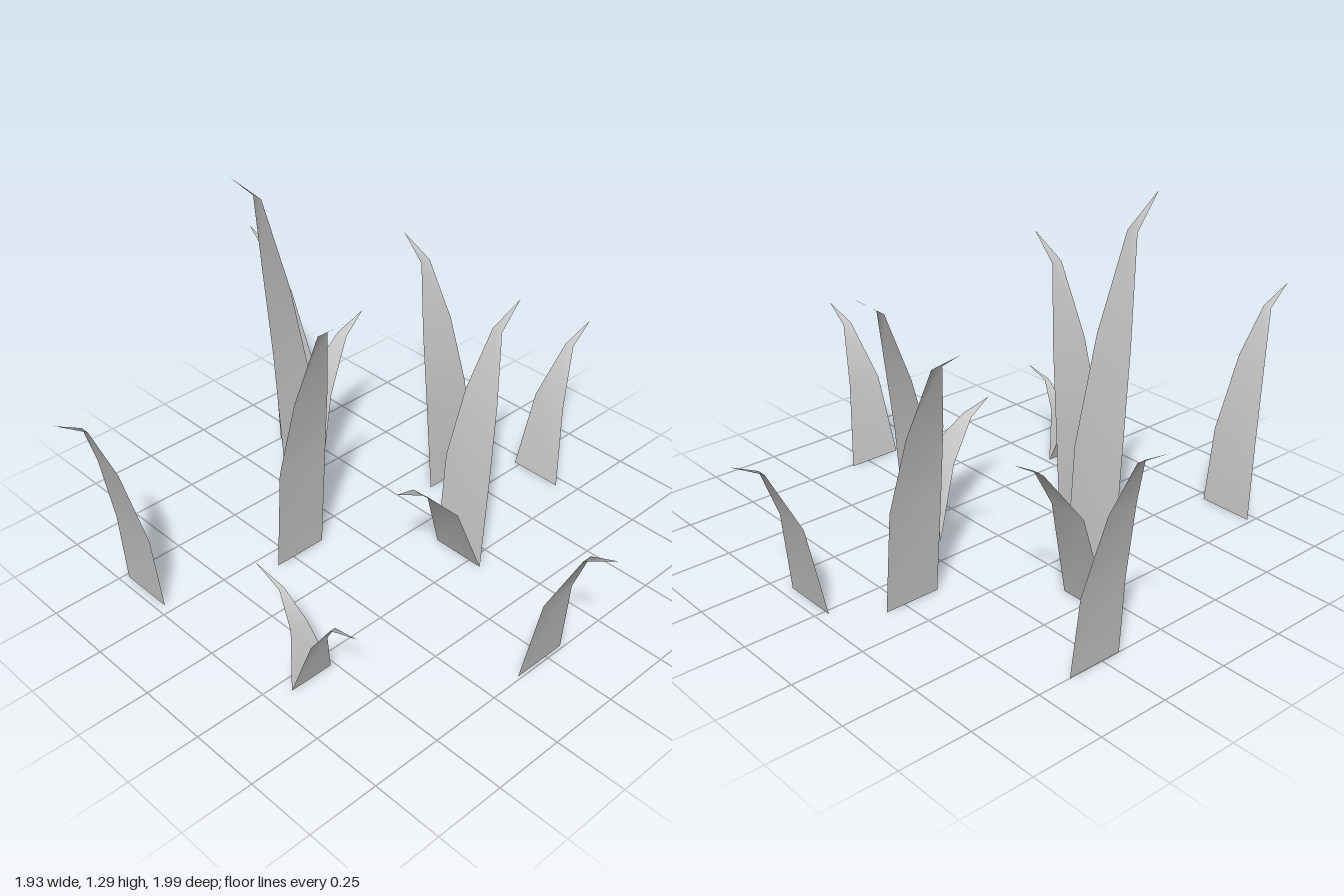
import * as THREE from 'three';

const material = new THREE.MeshStandardMaterial({ color: 0xcccccc, side: THREE.DoubleSide });

// Blade outlines: rings of [height fraction, lean fraction, width fraction], ending in a point
const TALL = [[0, 0, 1], [0.39, 0.12, 0.99], [0.67, 0.33, 0.7], [0.92, 0.58, 0.2], [1, 1, 0]];
const MEDIUM = [[0, 0, 1], [0.35, 0.1, 0.9], [0.7, 0.35, 0.55], [0.92, 0.6, 0.16], [1, 1, 0]];
const SHORT = [[0, 0, 1], [0.54, 0.2, 0.65], [0.9, 0.57, 0.17], [1, 1, 0]];
const SPROUT = [[0, 0, 1], [0.58, 0.2, 0.42], [0.9, 0.5, 0.12], [1, 1, 0]];
const ARCHING = [[0, 0, 1], [0.61, 0.29, 0.7], [0.9, 0.68, 0.22], [1, 1, 0]];

// Turn about y that points the lean (+z by default) in each direction
const TURN = { front: 0, left: Math.PI / 2, back: Math.PI, right: -Math.PI / 2 };

// Thin curved blade: width along x, leaning towards +z
function bladeGeometry(profile, width, height, lean) {
  const positions = [];
  const index = [];
  const last = profile.length - 1;
  profile.forEach(([f, l, w], i) => {
    const half = (w * width) / 2;
    if (i === last) positions.push(0, f * height, l * lean);
    else positions.push(-half, f * height, l * lean, half, f * height, l * lean);
    const a = i * 2;
    if (i < last - 1) index.push(a, a + 1, a + 3, a, a + 3, a + 2);
    else if (i === last - 1) index.push(a, a + 1, a + 2);
  });
  const geometry = new THREE.BufferGeometry();
  geometry.setAttribute('position', new THREE.Float32BufferAttribute(positions, 3));
  geometry.setIndex(index);
  geometry.computeVertexNormals();
  return geometry;
}

export function createModel() {
  const group = new THREE.Group();
  group.name = 'grassPatch';

  // name, profile, direction of lean, base x, base z, height, lean, width
  const blades = [
    ['tallBladeBack', TALL, 'right', 0.07, -0.5, 1.29, 0.25, 0.2],
    ['archingBladeBack', ARCHING, 'left', 0.07, -0.5, 0.59, 0.31, 0.2],
    ['tallBladeFront', TALL, 'left', 0.17, 0.2, 0.905, 0.25, 0.2],
    ['archingBladeFront', ARCHING, 'right', 0.17, 0.2, 0.41, 0.3, 0.2],
    ['tallBladeLeft', TALL, 'back', 0.47, -0.13, 0.915, 0.25, 0.2],
    ['tallBladeRight', TALL, 'front', -0.22, -0.18, 1.02, 0.25, 0.2],
    ['mediumBladeBack', MEDIUM, 'back', 0.28, -0.75, 0.785, 0.25, 0.2],
    ['mediumBladeRight', MEDIUM, 'right', -0.72, -0.385, 0.785, 0.25, 0.2],
    ['shortBladeLeft', SHORT, 'left', 0.71, 0.08, 0.555, 0.25, 0.2],
    ['shortBladeFront', SHORT, 'front', -0.03, 0.74, 0.555, 0.25, 0.2],
    ['sproutBack', SPROUT, 'back', -0.595, 0.3, 0.315, 0.25, 0.16],
    ['sproutFront', SPROUT, 'front', -0.595, 0.3, 0.3, 0.21, 0.16],
  ];

  for (const [name, profile, direction, x, z, height, lean, width] of blades) {
    const blade = new THREE.Mesh(bladeGeometry(profile, width, height, lean), material);
    blade.name = name;
    blade.position.set(x, 0, z);
    blade.rotation.y = TURN[direction];
    group.add(blade);
  }
  return group;
}
